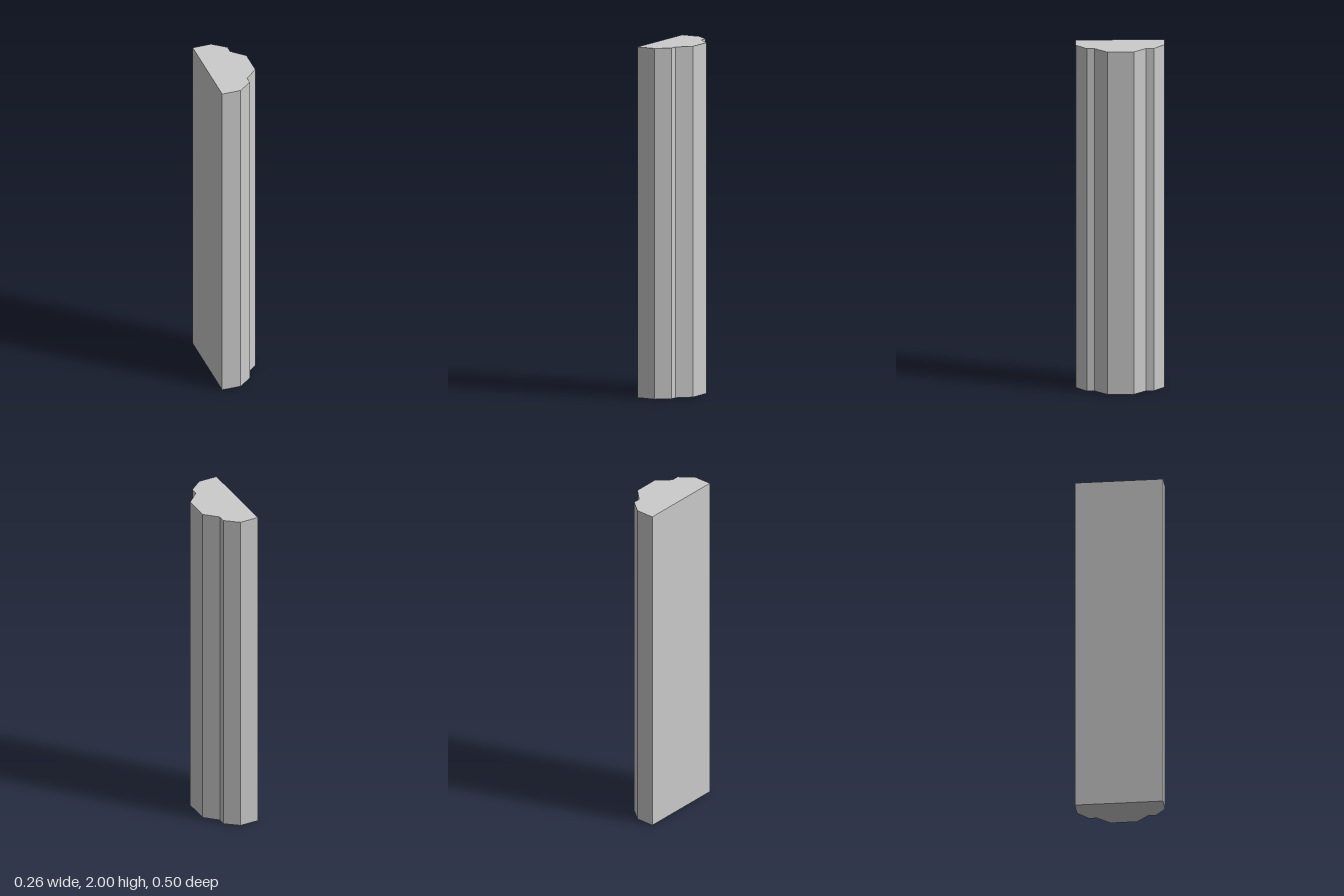
import * as THREE from 'three';

const HEIGHT = 2;

// Half of the moulding's cross-section as [x, z], from flat back to raised centre
const HALF_PROFILE = [
  [-0.13, 0.25],
  [-0.02, 0.25],
  [0.056, 0.189],
  [0.056, 0.145],
  [0.129, 0.075],
];

export function createModel() {
  const group = new THREE.Group();
  group.name = 'moulding';

  // Mirror the half profile across z = 0 to close the outline
  const mirrored = HALF_PROFILE.map(([x, z]) => [x, -z]).reverse();
  const outline = [...HALF_PROFILE, ...mirrored].map(([x, z]) => new THREE.Vector2(x, z));

  // Extrude, then stand upright on the ground
  const geometry = new THREE.ExtrudeGeometry(new THREE.Shape(outline), {
    depth: HEIGHT,
    bevelEnabled: false,
  });
  geometry.rotateX(-Math.PI / 2);

  const post = new THREE.Mesh(
    geometry,
    new THREE.MeshStandardMaterial({ color: 0xcccccc, flatShading: true })
  );
  post.name = 'profiledPost';
  group.add(post);
  return group;
}
